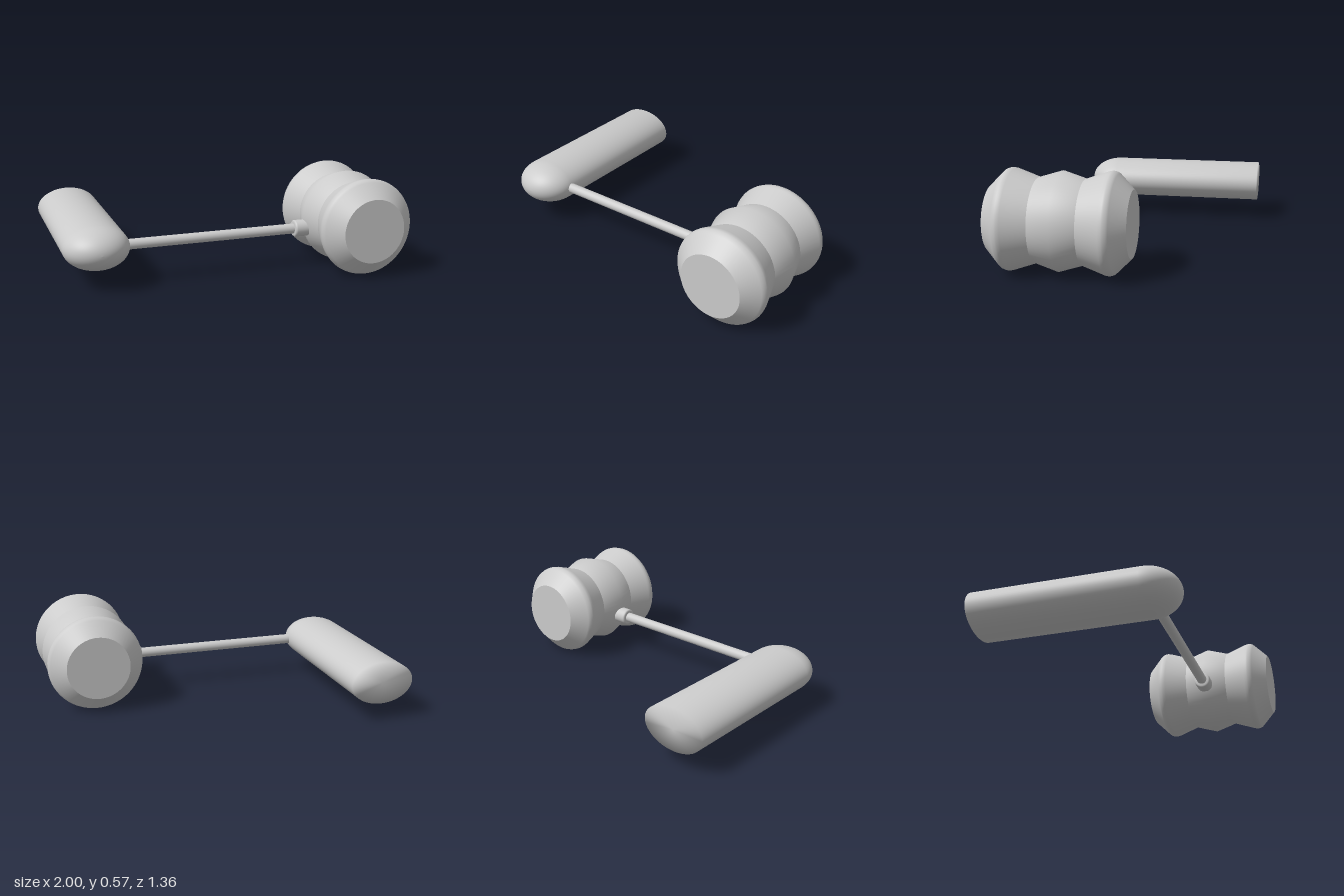
import * as THREE from 'three';

const grey = new THREE.MeshStandardMaterial({ color: 0xcccccc });

// Lathe around the z axis; points are [radius, z] from back to front.
// A point given twice makes a sharp edge.
function turned(name, points, x, y, segments = 64) {
  const geometry = new THREE.LatheGeometry(points.map(([r, z]) => new THREE.Vector2(r, z)), segments);
  geometry.rotateX(Math.PI / 2);
  const mesh = new THREE.Mesh(geometry, grey);
  mesh.name = name;
  mesh.position.set(x, y, 0);
  return mesh;
}

// Lathe around the x axis; points are [radius, x] from right to left.
function bar(name, points, y, z, segments) {
  const mesh = turned(name, points, 0, y, segments);
  mesh.geometry.rotateY(Math.PI / 2);
  mesh.position.z = z;
  return mesh;
}

export function createModel() {
  const model = new THREE.Group();
  model.name = 'mallet';
  const middle = 0.2875;

  // Oval grip: flat at the back, rounded at the front
  const gripProfile = [[0, -0.68], [0.19, -0.68]];
  for (let i = 0; i <= 16; i++) {
    const a = (i / 16) * Math.PI / 2;
    gripProfile.push([i === 16 ? 0 : 0.19 * Math.cos(a), 0.285 + 0.185 * Math.sin(a)]);
  }
  const grip = turned('grip', gripProfile, -0.81, 0.23);
  grip.scale.y = 0.125 / 0.19;
  model.add(grip);

  // Turned head: half profile from the end face to the middle ridge, then mirrored
  const half = [
    [0, -0.392], [0.187, -0.392], [0.187, -0.392],
    [0.268, -0.312], [0.277, -0.302], [0.282, -0.287], [0.283, -0.277], [0.28, -0.26],
    [0.235, -0.13], [0.235, -0.13],
  ];
  const mirrored = half.map(([r, z]) => [r, -z]).reverse();
  const headProfile = [...half, [0.275, 0], ...mirrored].map(([r, z]) => [r, z + middle]);
  model.add(turned('head', headProfile, 0.716, 0.285));

  // Thin shaft from grip to head
  model.add(bar('shaft', [
    [0, -0.645], [0.03, -0.645], [0.03, -0.645], [0.03, 0.42],
  ], 0.23, middle, 20));

  // Collar where the shaft meets the head
  model.add(bar('collar', [
    [0, 0.38], [0.042, 0.38], [0.049, 0.387], [0.05, 0.395], [0.05, 0.48],
  ], 0.23, middle, 32));

  return model;
}
